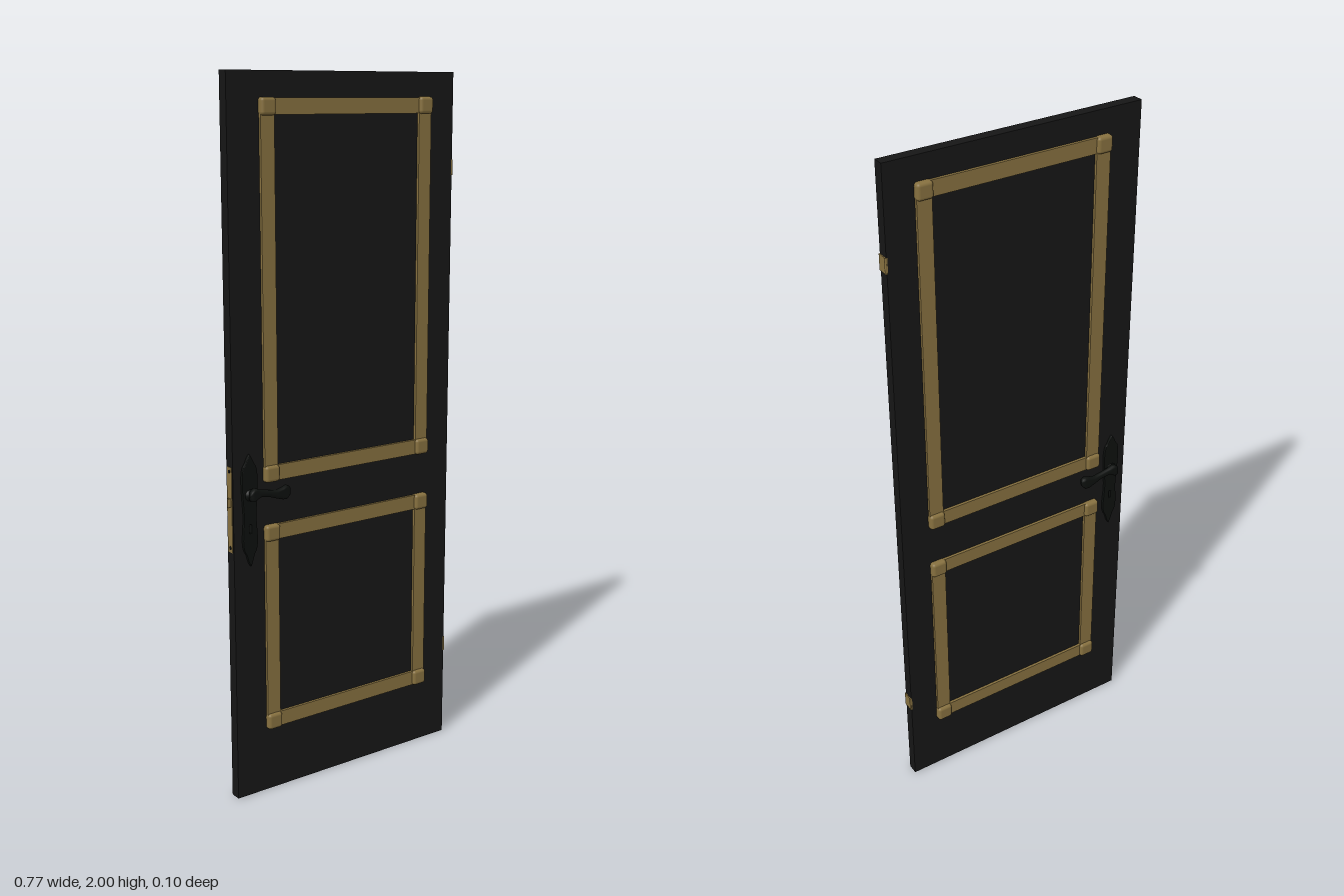
import * as THREE from 'three';
import { RoundedBoxGeometry } from 'three/addons/geometries/RoundedBoxGeometry.js';

const mat = (color) => new THREE.MeshStandardMaterial({ color });
const black = mat(0x161616), dark = mat(0x0d100e), gold = mat(0x86703f);
const HALF = 0.0155; // half the slab thickness
const LOCK_X = -0.325;

function add(parent, name, geometry, material, x = 0, y = 0, z = 0) {
  const mesh = new THREE.Mesh(geometry, material);
  mesh.name = name;
  mesh.position.set(x, y, z);
  parent.add(mesh);
  return mesh;
}

// Keyhole outline, around the given centre
function keyhole(x, y) {
  const p = new THREE.Path();
  p.moveTo(x - 0.004, y - 0.014);
  p.lineTo(x - 0.004, y + 0.008);
  p.absarc(x, y + 0.008, 0.005, Math.PI, 0, true);
  p.lineTo(x + 0.004, y - 0.014);
  p.closePath();
  return p;
}

// Straight moulding rail along y: gold base strip with a rounded black bead on top
function rail(length) {
  const group = new THREE.Group();
  group.name = 'mouldingRail';
  add(group, 'goldEdge', new THREE.BoxGeometry(0.043, length, 0.01), gold, 0, 0, 0.003);
  const s = new THREE.Shape();
  s.moveTo(-0.0185, 0);
  s.lineTo(0.0185, 0);
  s.lineTo(0.0185, 0.011);
  s.quadraticCurveTo(0.0175, 0.0145, 0.011, 0.015);
  s.lineTo(-0.011, 0.015);
  s.quadraticCurveTo(-0.0175, 0.0145, -0.0185, 0.011);
  s.closePath();
  const g = new THREE.ExtrudeGeometry(s, { depth: length, bevelEnabled: false, curveSegments: 4 });
  g.translate(0, 0, -length / 2).rotateX(Math.PI / 2).scale(1, 1, -1);
  // mirroring flips the winding, so swap two corners of every triangle
  const pos = g.attributes.position, a = new THREE.Vector3(), b = new THREE.Vector3();
  for (let i = 0; i < pos.count; i += 3) {
    a.fromBufferAttribute(pos, i + 1);
    b.fromBufferAttribute(pos, i + 2);
    pos.setXYZ(i + 1, b.x, b.y, b.z);
    pos.setXYZ(i + 2, a.x, a.y, a.z);
  }
  g.computeVertexNormals();
  add(group, 'blackBead', g, black);
  return group;
}

// Rectangular moulding with a gold block at each corner
function panelFrame(x0, x1, y0, y1) {
  const group = new THREE.Group();
  group.name = 'panelFrame';
  const cx = (x0 + x1) / 2, cy = (y0 + y1) / 2;
  for (const x of [x0, x1]) {
    const r = rail(y1 - y0);
    r.position.set(x, cy, HALF);
    group.add(r);
    for (const y of [y0, y1])
      add(group, 'cornerBlock', new RoundedBoxGeometry(0.046, 0.046, 0.034, 4, 0.009), gold, x, y, HALF + 0.001);
  }
  for (const y of [y0, y1]) {
    const r = rail(x1 - x0);
    r.rotation.z = Math.PI / 2;
    r.position.set(cx, y, HALF);
    group.add(r);
  }
  return group;
}

// Shaped back plate with keyhole, spindle and lever
function handleSet(flip) {
  const group = new THREE.Group();
  group.name = 'handleSet';
  const s = new THREE.Shape();
  s.moveTo(0, 0.685);
  s.bezierCurveTo(0.01, 0.7, 0.008, 0.715, 0.017, 0.725);
  s.bezierCurveTo(0.029, 0.75, 0.018, 0.79, 0.019, 0.83);
  s.bezierCurveTo(0.02, 0.86, 0.03, 0.94, 0.019, 0.965);
  s.bezierCurveTo(0.01, 0.975, 0.01, 0.985, 0, 0.997);
  s.bezierCurveTo(-0.01, 0.985, -0.01, 0.975, -0.019, 0.965);
  s.bezierCurveTo(-0.03, 0.94, -0.02, 0.86, -0.019, 0.83);
  s.bezierCurveTo(-0.018, 0.79, -0.029, 0.75, -0.017, 0.725);
  s.bezierCurveTo(-0.008, 0.715, -0.01, 0.7, 0, 0.685);
  s.holes.push(keyhole(0, 0.79));
  const plate = new THREE.ExtrudeGeometry(s, {
    depth: 0.005, bevelEnabled: true, bevelThickness: 0.003, bevelSize: 0.002,
    bevelOffset: -0.001, bevelSegments: 2, curveSegments: 8,
  });
  add(group, 'backPlate', plate, dark, LOCK_X, 0, HALF);

  // turned spindle with a collar at its foot
  const profile = [[0.017, 0], [0.016, 0.009], [0.01, 0.013], [0.007, 0.018], [0.008, 0.03]];
  const spindle = new THREE.LatheGeometry(profile.map(([r, h]) => new THREE.Vector2(r, h)), 20);
  spindle.rotateX(Math.PI / 2);
  add(group, 'spindle', spindle, dark, LOCK_X, 0.885, HALF).material.side = THREE.DoubleSide;

  // lever: turned along its length, thicker at the hub and the tip, then gently bent
  const lever = new THREE.LatheGeometry(
    [[0, 0], [0.013, 0.003], [0.017, 0.012], [0.014, 0.022], [0.01, 0.032], [0.009, 0.06],
      [0.011, 0.085], [0.016, 0.105], [0.018, 0.117], [0.012, 0.126], [0, 0.129]]
      .map(([r, h]) => new THREE.Vector2(r, h)), 20);
  lever.rotateZ(-Math.PI / 2);
  const p = lever.attributes.position;
  for (let i = 0; i < p.count; i++) {
    const t = p.getX(i) / 0.129;
    p.setY(i, p.getY(i) * 1.1 + 0.006 * Math.sin(t * Math.PI * 2));
    p.setZ(i, THREE.MathUtils.clamp(p.getZ(i), -0.009, 0.009));
  }
  lever.computeVertexNormals();
  add(group, 'lever', lever, dark, -0.336, 0.885, 0.039);

  if (flip) {
    // turn to the back face, then put the lock side back on -x
    group.scale.z = -1;
  }
  return group;
}

export function createModel() {
  const door = new THREE.Group();
  door.name = 'door';
  door.position.z = -0.002;

  // slab with the keyhole cut through
  const s = new THREE.Shape();
  s.moveTo(-0.375, 0);
  s.lineTo(0.379, 0);
  s.lineTo(0.379, 2);
  s.lineTo(-0.375, 2);
  s.closePath();
  s.holes.push(keyhole(LOCK_X, 0.79));
  add(door, 'slab', new THREE.ExtrudeGeometry(s, { depth: HALF * 2, bevelEnabled: false }), black, 0, 0, -HALF);

  // mouldings and handles on both faces
  for (const side of [1, -1]) {
    const face = new THREE.Group();
    face.name = side > 0 ? 'frontFace' : 'backFace';
    face.scale.z = side;
    face.add(panelFrame(-0.255, 0.272, 0.935, 1.91));
    face.add(panelFrame(-0.255, 0.272, 0.21, 0.767));
    face.add(handleSet(false));
    door.add(face);
  }

  // hinge leaves with a slim knuckle
  for (const y of [0.29, 1.737]) {
    add(door, 'hingeLeaf', new THREE.BoxGeometry(0.006, 0.044, 0.032), gold, 0.379, y, 0);
    add(door, 'hingeKnuckle', new THREE.CylinderGeometry(0.003, 0.003, 0.044, 12), gold, 0.3805, y, -0.014);
  }

  // lock plate, sloped latch and screws on the lock edge
  add(door, 'lockPlate', new THREE.BoxGeometry(0.004, 0.24, 0.022), gold, -0.3745, 0.847, 0);
  const w = new THREE.Shape();
  w.moveTo(0, -0.007);
  w.lineTo(0, 0.007);
  w.lineTo(-0.011, 0.004);
  w.lineTo(-0.011, 0.001);
  w.closePath();
  const latch = new THREE.ExtrudeGeometry(w, { depth: 0.024, bevelEnabled: false });
  latch.translate(0, 0, -0.012).rotateX(Math.PI / 2);
  add(door, 'latch', latch, gold, -0.3745, 0.868, 0);
  for (const y of [0.74, 0.955]) {
    const screw = new THREE.CylinderGeometry(0.005, 0.005, 0.002, 12).rotateZ(Math.PI / 2);
    add(door, 'screw', screw, dark, -0.3765, y, 0);
  }

  const root = new THREE.Group();
  root.name = 'panelDoor';
  root.add(door);
  return root;
}
